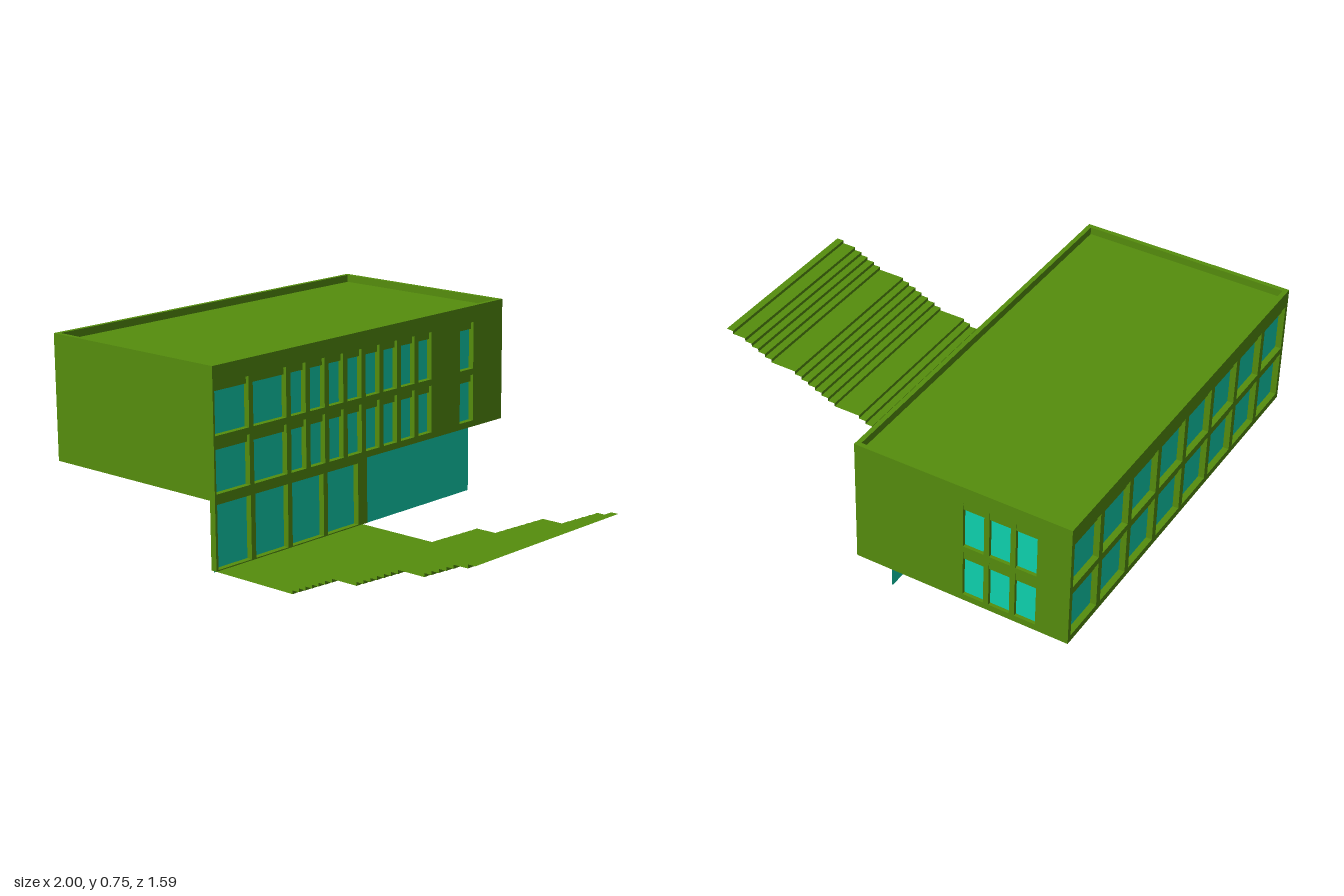
import * as THREE from 'three';

const green = new THREE.MeshStandardMaterial({ color: 0x568e0d, side: THREE.DoubleSide, flatShading: true });
const teal = new THREE.MeshStandardMaterial({ color: 0x0ed4b0, side: THREE.DoubleSide });

const ROWS = [[0.29, 0.475], [0.5, 0.685]]; // sill and head of each upper storey
const BASE = 0.265, ROOF = 0.72, TOP = 0.75, LINTEL = 0.029;

function add(parent, name, geometry, material, x = 0, y = 0, z = 0) {
  const mesh = new THREE.Mesh(geometry, material);
  mesh.name = name;
  mesh.position.set(x, y, z);
  parent.add(mesh);
  return mesh;
}

function rect(Type, u0, u1, y0, y1) {
  const s = new Type();
  s.moveTo(u0, y0);
  s.lineTo(u1, y0);
  s.lineTo(u1, y1);
  s.lineTo(u0, y1);
  s.closePath();
  return s;
}

// Wall panel with its outer face on local z = 0; openings are [u0, u1, y0, y1]
function wall(name, u0, u1, y0, y1, depth, openings, glazed = true) {
  const group = new THREE.Group();
  group.name = name;
  const shape = rect(THREE.Shape, u0, u1, y0, y1);
  for (const o of openings) shape.holes.push(rect(THREE.Path, ...o));
  const geo = new THREE.ExtrudeGeometry(shape, { depth, bevelEnabled: false });
  geo.translate(0, 0, -depth);
  add(group, 'wallPanel', geo, green);
  if (glazed) {
    for (const [a, b, c, d] of openings) {
      const w = b - a, mid = (a + b) / 2;
      add(group, 'windowGlass', new THREE.PlaneGeometry(w, d - c), teal, mid, (c + d) / 2, -depth + 0.002);
      add(group, 'blindBox', new THREE.BoxGeometry(w, LINTEL, 0.012), green, mid, d - LINTEL / 2, -depth + 0.006);
    }
  }
  return group;
}

// Repeat a row of [u0, u1] spans on both upper storeys
const storeys = spans => ROWS.flatMap(([a, b]) => spans.map(([u0, u1]) => [u0, u1, a, b]));

function staircase() {
  // Long floor, then three flights with landings between
  const pts = [[-0.17, 0.01]];
  const flights = [[0.2, 7], [0.495, 7], [0.79, 5], [0.97, 1]];
  let y = 0.01;
  for (const [x0, count] of flights) {
    for (let i = 0; i < count; i++) {
      const x = x0 + i * 0.0305;
      pts.push([x, y]);
      y += 0.0135;
      pts.push([x, y]);
    }
  }
  pts.push([1, y]);
  const pos = [], back = 0.03, front = 0.795;
  for (let i = 0; i < pts.length - 1; i++) {
    const [p, q] = [pts[i], pts[i + 1]];
    pos.push(...p, back, ...p, front, ...q, front, ...p, back, ...q, front, ...q, back);
  }
  const geo = new THREE.BufferGeometry();
  geo.setAttribute('position', new THREE.Float32BufferAttribute(pos, 3));
  geo.computeVertexNormals();
  return geo;
}

export function createModel() {
  const model = new THREE.Group();
  model.name = 'building';

  // Courtyard side wall: two wide windows, a row of narrow ones, one set apart
  const courtSpans = [[-0.787, -0.621], [-0.6, -0.433], [0.536, 0.617]];
  for (let i = 0; i < 8; i++) courtSpans.push([-0.41 + i * 0.0998, -0.333 + i * 0.0998]);
  const court = wall('courtyardWall', -0.79, 0.795, BASE, ROOF, 0.025, storeys(courtSpans));
  court.rotation.y = Math.PI / 2;
  court.position.x = -0.17;
  model.add(court);

  // Ground floor frame under the courtyard wall, with one long glass sheet behind
  const bays = [];
  for (let i = 0; i < 4; i++) bays.push([-0.785 + i * 0.188, -0.619 + i * 0.188, 0.014, 0.252]);
  const ground = wall('groundFloorFrame', -0.795, -0.005, 0.01, BASE, 0.025, bays, false);
  ground.rotation.y = Math.PI / 2;
  ground.position.x = -0.17;
  model.add(ground);
  const sheet = add(model, 'groundFloorGlass', new THREE.PlaneGeometry(1.402, BASE), teal, -0.193, BASE / 2, 0.084);
  sheet.rotation.y = Math.PI / 2;

  // Outer long wall with eight wide windows per storey
  const outerSpans = [];
  for (let i = 0; i < 8; i++) outerSpans.push([-0.777 + i * 0.1975, -0.605 + i * 0.1975]);
  const outer = wall('outerWall', -0.79, 0.79, BASE, ROOF, 0.025, storeys(outerSpans));
  outer.rotation.y = -Math.PI / 2;
  outer.position.x = -1;
  model.add(outer);

  // Rear wall with three narrow windows per storey
  const rearSpans = [0, 1, 2].map(i => [0.595 + i * 0.1, 0.675 + i * 0.1]);
  const rear = wall('rearWall', 0.17, 1, BASE, ROOF, 0.015, storeys(rearSpans));
  rear.rotation.y = Math.PI;
  rear.position.z = -0.795;
  model.add(rear);

  // Plain front wall
  const front = wall('frontWall', -1, -0.17, BASE, ROOF, 0.008, []);
  front.position.z = 0.795;
  model.add(front);

  // Flat roof and its raised parapet
  add(model, 'roof', new THREE.BoxGeometry(0.82, 0.006, 1.58), green, -0.585, ROOF - 0.002, 0);
  const rim = rect(THREE.Shape, -1, -0.17, -0.795, 0.795);
  rim.holes.push(rect(THREE.Path, -0.982, -0.188, -0.777, 0.777));
  const rimGeo = new THREE.ExtrudeGeometry(rim, { depth: TOP - ROOF, bevelEnabled: false });
  rimGeo.rotateX(-Math.PI / 2);
  add(model, 'parapet', rimGeo, green, 0, ROOF, 0);

  add(model, 'terraceStairs', staircase(), green);
  return model;
}
